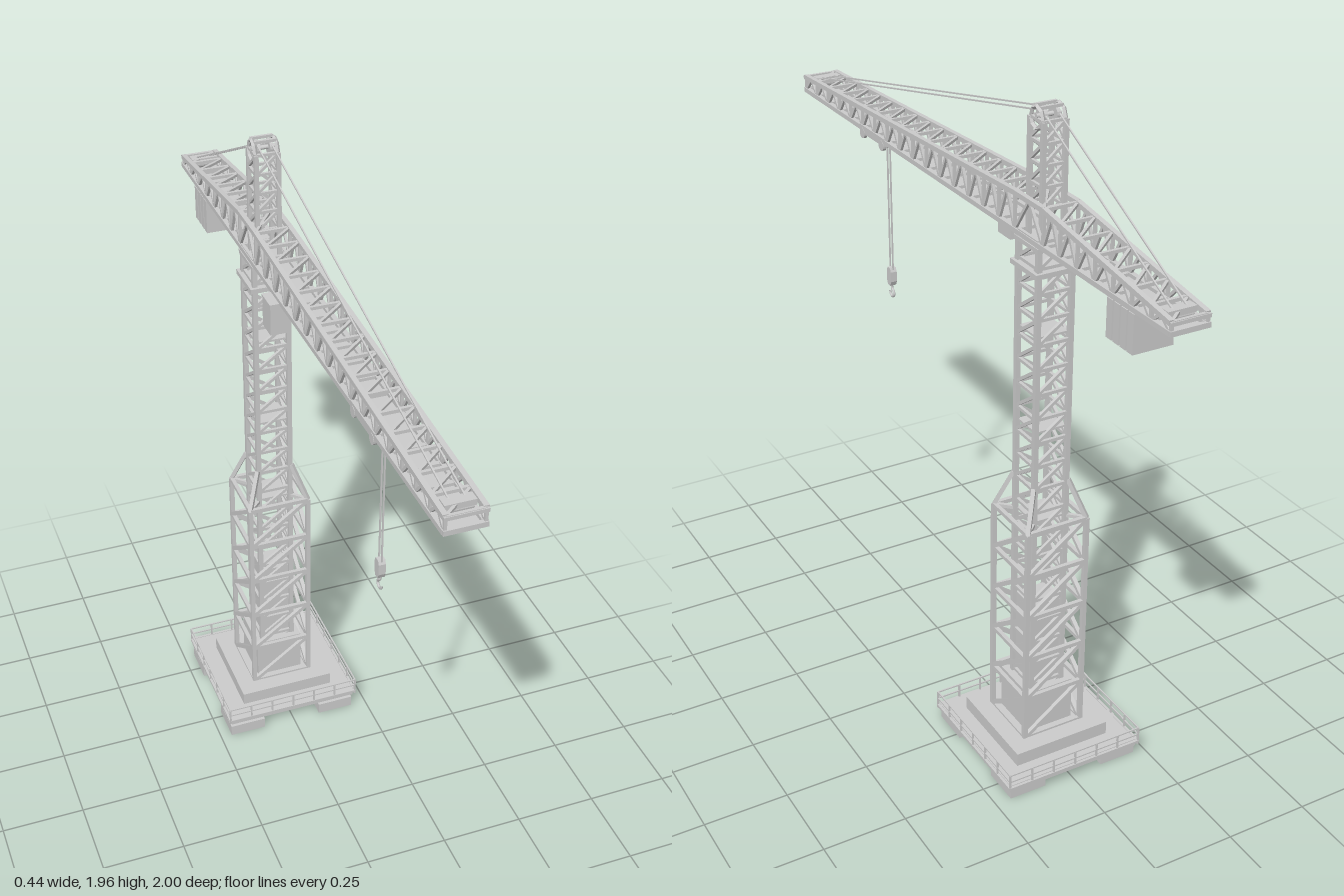
import * as THREE from 'three';
import { mergeGeometries } from 'three/addons/utils/BufferGeometryUtils.js';

const mat = new THREE.MeshStandardMaterial({ color: 0xcccccc, flatShading: true });
const smooth = new THREE.MeshStandardMaterial({ color: 0xcccccc });
const TZ = -0.37; // tower axis
const V = (x, y, z) => new THREE.Vector3(x, y, z);

// square bar between two points
function beam(a, b, t) {
  const dir = b.clone().sub(a);
  const g = new THREE.BoxGeometry(t, t, dir.length());
  const m = new THREE.Matrix4().lookAt(b, a, Math.abs(dir.y) > 0.99 * dir.length() ? V(0, 0, 1) : V(0, 1, 0));
  return g.applyMatrix4(m.setPosition(a.clone().add(b).multiplyScalar(0.5)));
}
const box = (w, h, d, x, y, z) => new THREE.BoxGeometry(w, h, d).translate(x, y, z);
const wheel = (r, w, x, y, z, n = 16) =>
  new THREE.CylinderGeometry(r, r, w, n).rotateZ(Math.PI / 2).translate(x, y, z);

// four corners of a square section of the tower
const square = (r, y) => [[-1, 1], [1, 1], [1, -1], [-1, -1]].map(([i, j]) => V(i * r, y, TZ + j * r));

// square lattice tower: legs, rings and one diagonal per face and bay
function lattice(r, y0, y1, bays, leg, brace) {
  const parts = [];
  const bottom = square(r, y0), top = square(r, y1);
  bottom.forEach((p, i) => parts.push(beam(p, top[i], leg)));
  for (let b = 0; b <= bays; b++) {
    const lo = square(r, y0 + (y1 - y0) * b / bays);
    const hi = square(r, y0 + (y1 - y0) * (b + 1) / bays);
    for (let i = 0; i < 4; i++) {
      const k = (i + 1) % 4;
      parts.push(beam(lo[i], lo[k], brace));
      if (b < bays) parts.push(beam(lo[i], hi[k], brace));
    }
  }
  return parts;
}

export function createModel() {
  const model = new THREE.Group();
  const add = (name, parts, material = mat) => {
    const mesh = new THREE.Mesh(mergeGeometries(parts), material);
    mesh.name = name;
    model.add(mesh);
  };

  // base: feet, slabs and railing
  const feet = [];
  for (const x of [-0.158, 0.144]) for (const z of [-0.212, -0.515])
    feet.push(box(0.114, 0.036, 0.114, x, 0.018, z));
  add('feet', feet);
  add('baseSlab', [box(0.42, 0.024, 0.42, 0, 0.047, -0.375), box(0.3, 0.042, 0.3, 0, 0.079, TZ)]);

  const rail = [];
  const rw = 0.215, cz = -0.376, posts = 6;
  for (let s = 0; s < 4; s++) {
    const place = g => g.rotateY(s * Math.PI / 2).translate(0, 0, cz);
    for (const y of [0.08, 0.102]) rail.push(place(beam(V(-rw, y, rw), V(rw, y, rw), 0.004)));
    rail.push(place(beam(V(-rw, 0.055, rw), V(rw, 0.055, rw), 0.008)));
    for (let i = 0; i < posts; i++) {
      const x = -rw + 2 * rw * i / posts;
      rail.push(place(beam(V(x, 0.045, rw), V(x, 0.102, rw), 0.005)));
    }
  }
  add('baseRailing', rail);

  // closed core inside the lower tower
  add('core', [box(0.148, 0.135, 0.148, 0, 0.1675, TZ), box(0.092, 0.275, 0.092, 0, 0.3725, TZ)]);

  // wide lower tower with struts leaning in to the mast
  const lower = lattice(0.093, 0.1, 0.79, 5, 0.013, 0.012);
  const wide = square(0.093, 0.79), narrow = square(0.054, 0.905);
  wide.forEach((p, i) => lower.push(beam(p, narrow[i], 0.012)));
  square(0.052, 0.79).forEach((p, i) => lower.push(beam(wide[i], p, 0.01)));
  add('lowerTower', lower);

  // slim mast with inner landings
  add('mast', lattice(0.05, 0.1, 1.62, 21, 0.014, 0.009));
  add('landings', [0.79, 1.07, 1.35].map(y => box(0.094, 0.006, 0.094, 0, y, TZ)));
  add('slewingRing', [box(0.132, 0.014, 0.132, 0, 1.532, TZ), box(0.118, 0.012, 0.118, 0, 1.6, TZ)]);

  // jib and counter jib: top chords rise towards the tower
  const hw = 0.05, yb = 1.614;
  const topY = z => z > -0.3 ? 1.655 + 0.06 * (0.995 - z) / 1.295
    : z > -0.44 ? 1.715 : 1.64 + 0.075 * (z + 0.995) / 0.555;
  const stations = [];
  for (let i = 0; i <= 16; i++) stations.push(0.993 - 1.293 * i / 16);
  for (let i = 0; i <= 7; i++) stations.push(-0.44 - 0.553 * i / 7);
  const jib = [];
  stations.forEach((z, i) => {
    const y = topY(z), next = stations[i + 1];
    jib.push(beam(V(-hw, y, z), V(hw, y, z), 0.009), beam(V(-hw, yb, z), V(hw, yb, z), 0.012));
    for (const x of [-hw, hw]) {
      jib.push(beam(V(x, yb, z), V(x, y, z), 0.008));
      if (next === undefined) continue;
      const yn = topY(next), mid = (z + next) / 2;
      jib.push(beam(V(x, yb, z), V(x, yb, next), 0.014), beam(V(x, y, z), V(x, yn, next), 0.014));
      jib.push(beam(V(x, yb, z), V(x, topY(mid), mid), 0.008), beam(V(x, topY(mid), mid), V(x, yb, next), 0.008));
    }
    if (next !== undefined) jib.push(beam(V(-hw, y, z), V(hw, topY(next), next), 0.008));
  });
  add('jib', jib);
  add('jibDeck', [box(0.1, 0.005, 1.98, 0, 1.609, 0)]);

  // end plates and cable anchors
  const ends = [];
  for (const s of [1, -1]) {
    const z = 0.996 * s;
    ends.push(box(0.112, 0.014, 0.008, 0, 1.614, z), box(0.112, 0.01, 0.008, 0, topY(z) - 0.002, z));
    ends.push(box(0.08, 0.016, 0.03, 0, topY(0.95 * s) - 0.002, 0.95 * s));
    ends.push(wheel(0.014, 0.07, 0, topY(0.95 * s) - 0.014, 0.95 * s));
  }
  add('jibEnds', ends);

  // tower head with pulleys
  const head = lattice(0.032, 1.7, 1.925, 4, 0.012, 0.008);
  for (const p of square(0.032, 1.61)) head.push(beam(p, V(p.x, 1.71, p.z), 0.012));
  for (const x of [-0.032, 0.032])
    head.push(new THREE.TorusGeometry(0.029, 0.006, 4, 8).rotateY(Math.PI / 2).translate(x, 1.928, TZ));
  for (const z of [-0.015, 0.015]) head.push(beam(V(-0.032, 1.956, TZ + z), V(0.032, 1.956, TZ + z), 0.008));
  add('towerHead', head);
  add('headPulleys', [-0.018, 0.018].map(x => wheel(0.022, 0.01, x, 1.932, TZ)).concat(wheel(0.006, 0.07, 0, 1.932, TZ)));

  // stay cables
  const stays = [];
  for (const x of [-0.02, 0.02]) {
    stays.push(beam(V(x, 1.945, TZ), V(x, topY(0.95), 0.96), 0.004));
    stays.push(beam(V(x, 1.945, TZ), V(x, topY(-0.95), -0.96), 0.004));
  }
  add('stayCables', stays);

  // operator cab hung beside the jib
  add('cab', [box(0.06, 0.095, 0.065, -0.052, 1.562, -0.122), box(0.064, 0.006, 0.07, -0.052, 1.607, -0.122)]);

  // counterweights: four hanging slabs
  const weights = [];
  for (let i = 0; i < 4; i++) weights.push(box(0.116, 0.105, 0.024, 0, 1.553, -0.756 - i * 0.03));
  add('counterweights', weights);

  // trolley
  const trolley = [box(0.104, 0.012, 0.15, 0, 1.602, 0.517), box(0.06, 0.02, 0.08, 0, 1.592, 0.517)];
  for (const x of [-0.053, 0.053]) {
    trolley.push(box(0.008, 0.024, 0.16, x, 1.612, 0.517));
    for (const z of [0.455, 0.58]) trolley.push(wheel(0.016, 0.01, x, 1.6, z));
  }
  for (const z of [0.49, 0.545]) trolley.push(wheel(0.014, 0.05, 0, 1.59, z));
  add('trolley', trolley);

  // hoist ropes, hook block and hook
  add('hoistRopes', [0.514, 0.532].map(z => beam(V(0, 1.59, z), V(0, 1.17, z), 0.004)));
  const side = new THREE.Shape([[-0.008, 0], [0.008, 0], [0.014, 0.014], [0.014, 0.046], [0.008, 0.058], [-0.008, 0.058], [-0.014, 0.046], [-0.014, 0.014]]
    .map(p => new THREE.Vector2(...p)));
  const block = new THREE.ExtrudeGeometry(side, { depth: 0.02, bevelEnabled: false })
    .rotateY(Math.PI / 2).translate(-0.01, 1.12, 0.523);
  const hookBlock = new THREE.Mesh(block, mat);
  hookBlock.name = 'hookBlock';
  model.add(hookBlock);
  const path = [[0, 1.125], [0, 1.108], [-0.01, 1.1], [-0.013, 1.09], [-0.002, 1.081], [0.011, 1.087], [0.013, 1.097]]
    .map(([z, y]) => V(0, y, 0.523 + z));
  add('hook', [new THREE.TubeGeometry(new THREE.CatmullRomCurve3(path), 24, 0.004, 8)], smooth);

  return model;
}
